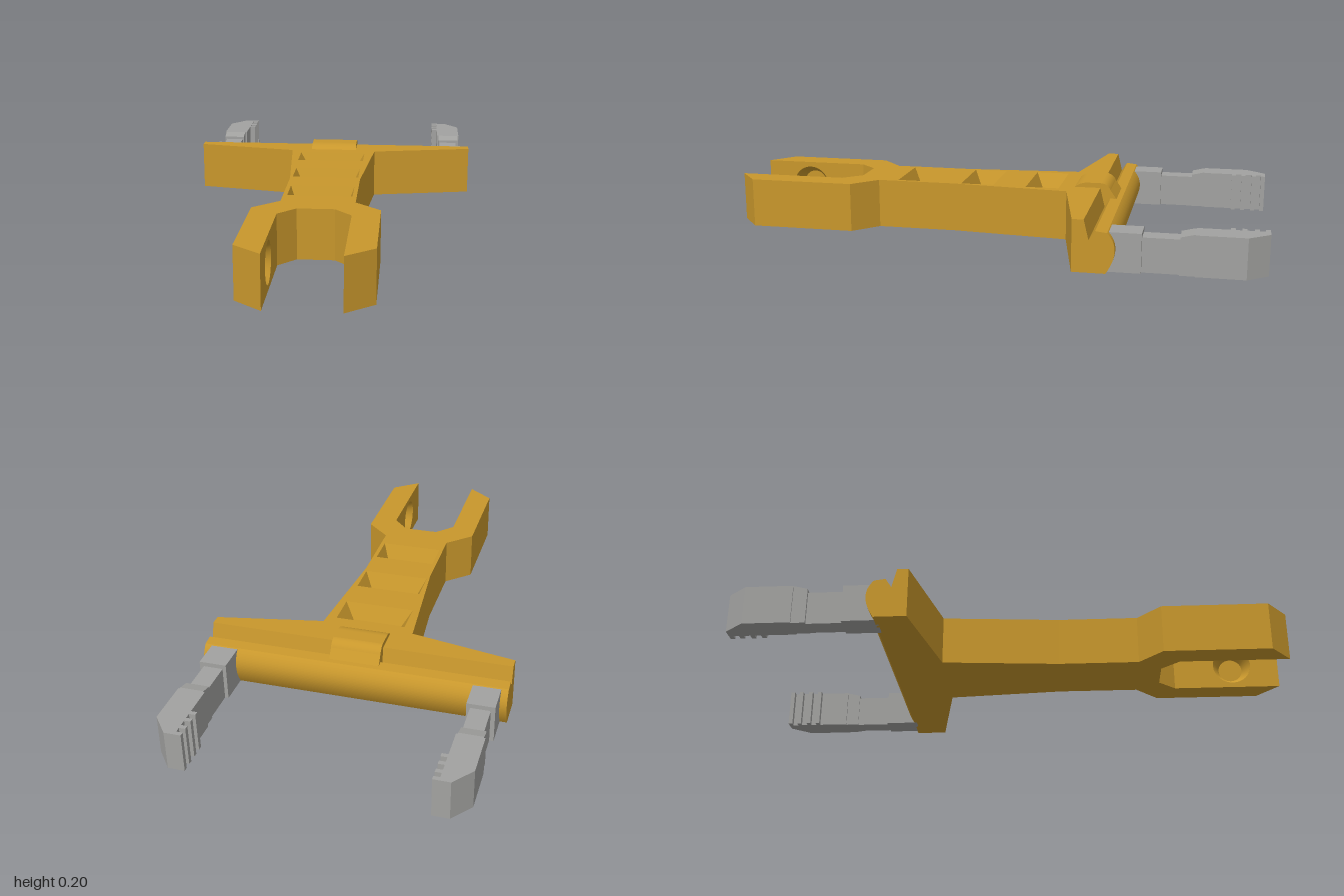
import * as THREE from 'three';

const H = 0.182;      // body height
const FLOOR = 0.125;  // height of the pocket floors
const gold = new THREE.MeshStandardMaterial({ color: 0xc8972c, side: THREE.DoubleSide });
gold.name = 'ochre';
const grey = new THREE.MeshStandardMaterial({ color: 0xa2a2a0 });
grey.name = 'grey';

const toShape = pts => new THREE.Shape(pts.map(p => new THREE.Vector2(p[0], p[1])));

// Plan outline of [x, z] points, raised from y0 to y1; holes are outlines too
function slab(pts, y0, y1, holes = []) {
  const flip = list => list.map(([x, z]) => [x, -z]);
  const shape = toShape(flip(pts));
  holes.forEach(h => shape.holes.push(toShape(flip(h))));
  return new THREE.ExtrudeGeometry(shape, { depth: y1 - y0, bevelEnabled: false })
    .rotateX(-Math.PI / 2).translate(0, y0, 0);
}

// Side shape of [z, y] points, stretched from x0 to x1
function sideways(shape, x0, x1) {
  return new THREE.ExtrudeGeometry(shape, { depth: x1 - x0, bevelEnabled: false, curveSegments: 24 })
    .rotateY(-Math.PI / 2).translate(x1, 0, 0);
}

// Four sloping walls between a top and a bottom rectangle
function pocketWalls(top, floor) {
  const pos = [];
  for (let i = 0; i < 4; i++) {
    const j = (i + 1) % 4;
    const a = [floor[i][0], FLOOR, floor[i][1]], b = [floor[j][0], FLOOR, floor[j][1]];
    const c = [top[j][0], H, top[j][1]], d = [top[i][0], H, top[i][1]];
    pos.push(...a, ...b, ...c, ...a, ...c, ...d);
  }
  const g = new THREE.BufferGeometry();
  g.setAttribute('position', new THREE.Float32BufferAttribute(pos, 3));
  g.computeVertexNormals();
  return g;
}

const rect = (x, z0, z1) => [[-x, z0], [x, z0], [x, z1], [-x, z1]];

export function createModel() {
  const model = new THREE.Group();
  model.name = 'forkedBracket';
  const add = (name, geometry, material) => {
    const mesh = new THREE.Mesh(geometry, material);
    mesh.name = name;
    model.add(mesh);
  };

  // Body: half outline with a notch for each socket plate, mirrored
  const half = [
    [0.065, 0.53], [0.125, 0.595], [0.125, 0.72], [0.175, 0.72], [0.175, 0.92], [0.125, 0.92],
    [0.125, 0.997], [0.22, 0.92], [0.22, 0.53], [0.13, 0.445], [0.13, 0.15],
    [0.167, -0.28], [0.55, -0.355],
  ];
  const outline = [...half, ...half.map(([x, z]) => [-x, z]).reverse()];
  const pockets = [[-0.245, 0.128], [0.002, 0.122], [0.25, 0.115]]
    .map(([z, x]) => ({ top: rect(x, z, z + 0.123), floor: rect(0.093, z + 0.022, z + 0.095) }));
  add('bodyBase', slab(outline, 0, FLOOR), gold);
  add('bodyTop', slab(outline, FLOOR, H, pockets.map(p => p.top)), gold);
  pockets.forEach(p => add('pocketWalls', pocketWalls(p.top, p.floor), gold));

  // Crossbar with a V groove and a rounded back
  const bar = new THREE.Shape();
  bar.moveTo(-0.355, 0);
  bar.lineTo(-0.355, H);
  bar.lineTo(-0.395, H);
  bar.lineTo(-0.412, 0.112);
  bar.lineTo(-0.433, 0.145);
  bar.lineTo(-0.473, 0.14);
  bar.bezierCurveTo(-0.507, 0.105, -0.51, 0.06, -0.47, 0);
  add('crossbar', sideways(bar, -0.55, 0.55), gold);

  // Rounded clip over the groove
  const clip = new THREE.Shape();
  clip.moveTo(-0.3, 0.11);
  clip.lineTo(-0.3, H);
  clip.quadraticCurveTo(-0.32, 0.2, -0.35, 0.2);
  clip.lineTo(-0.4, 0.2);
  clip.quadraticCurveTo(-0.422, 0.197, -0.433, 0.175);
  clip.lineTo(-0.458, 0.138);
  clip.lineTo(-0.44, 0.11);
  add('clip', sideways(clip, -0.09, 0.09), gold);

  for (const s of [1, -1]) {
    const mirror = pts => pts.map(([x, z]) => [s * x, z]);
    const block = (x0, x1, z0, z1) => mirror([[x0, z0], [x1, z0], [x1, z1], [x0, z1]]);

    // Countersunk socket on the inner face of each prong
    const plate = toShape([[0.72, 0], [0.92, 0], [0.92, H], [0.72, H]]);
    const hole = new THREE.Path();
    hole.absarc(0.82, H / 2, 0.072, 0, Math.PI * 2, true);
    plate.holes.push(hole);
    add('socketPlate', sideways(plate, s > 0 ? 0.125 : -0.175, s > 0 ? 0.175 : -0.125), gold);
    add('socket', new THREE.CylinderGeometry(0.072, 0.045, 0.05, 32, 1, true)
      .rotateZ(s * Math.PI / 2).translate(s * 0.15, H / 2, 0.82), gold);

    // Gripping arm: mount, neck, collar, blade and teeth
    add('armMount', slab(block(0.427, 0.525, -0.585, -0.46), 0, 0.137), grey);
    add('armNeck', slab(block(0.44, 0.51, -0.72, -0.58), 0, 0.121), grey);
    const collar = toShape([[-0.71, 0], [-0.71, 0.131], [-0.755, 0.142], [-0.765, 0.142], [-0.765, 0]]);
    add('armCollar', sideways(collar, s > 0 ? 0.436 : -0.52, s > 0 ? 0.52 : -0.436), grey);
    add('armBlade', slab(mirror([
      [0.43, -0.76], [0.525, -0.76], [0.525, -0.928], [0.467, -1], [0.43, -1],
    ]), 0, 0.142), grey);
    for (const z of [-0.994, -0.958, -0.918, -0.88]) {
      add('armTooth', slab(block(0.408, 0.435, z - 0.006, z + 0.01), 0, 0.142), grey);
    }
  }
  return model;
}
